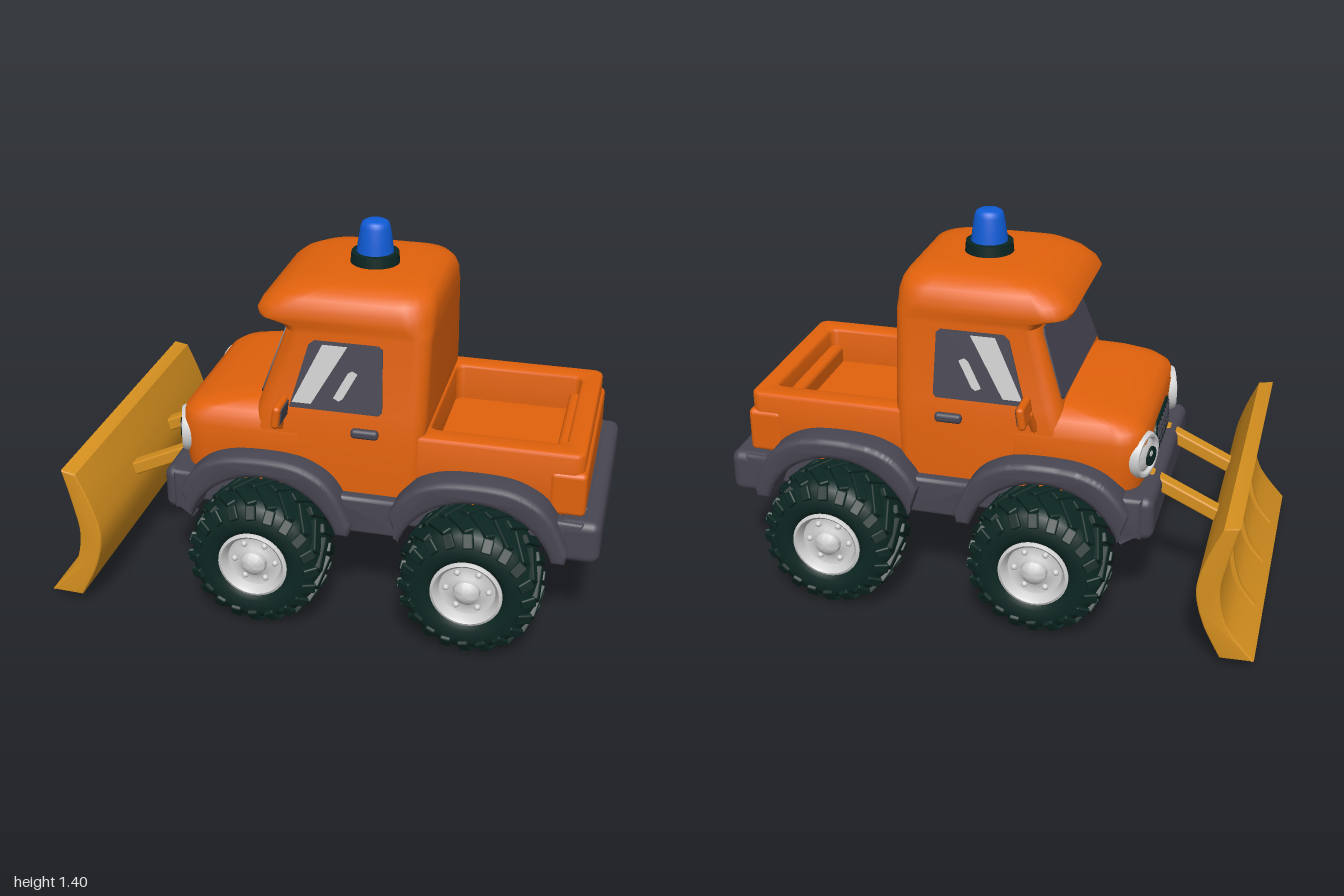
import * as THREE from 'three';
import { toCreasedNormals } from 'three/addons/utils/BufferGeometryUtils.js';
import { RoundedBoxGeometry } from 'three/addons/geometries/RoundedBoxGeometry.js';

const mat = (name, color) => Object.assign(new THREE.MeshStandardMaterial({ color }), { name });
const V = (pts) => pts.map(([x, y]) => new THREE.Vector2(x, y));

// Stack of rounded rectangles: rows of [y, x0, x1, halfDepth, cornerRadius]
function loft(rows, crease = 0.75) {
  const seg = 6, n = 4 * (seg + 1), pos = [], idx = [];
  for (const [y, x0, x1, hz, r] of rows) {
    for (let c = 0; c < 4; c++) {
      const cx = c === 0 || c === 3 ? x1 - r : x0 + r;
      const cz = c < 2 ? hz - r : r - hz;
      for (let i = 0; i <= seg; i++) {
        const a = (c + i / seg) * Math.PI / 2;
        pos.push(cx + r * Math.cos(a), y, cz + r * Math.sin(a));
      }
    }
  }
  const last = rows.length - 1;
  for (let k = 0; k < last; k++) {
    for (let i = 0; i < n; i++) {
      const a = k * n + i, b = k * n + (i + 1) % n;
      idx.push(a, a + n, b, b, a + n, b + n);
    }
  }
  for (const k of [0, last]) {
    const mid = pos.length / 3, [y, x0, x1] = rows[k];
    pos.push((x0 + x1) / 2, y, 0);
    for (let i = 0; i < n; i++) {
      const a = k * n + i, b = k * n + (i + 1) % n;
      if (k) idx.push(mid, b, a); else idx.push(mid, a, b);
    }
  }
  const g = new THREE.BufferGeometry();
  g.setAttribute('position', new THREE.Float32BufferAttribute(pos, 3));
  g.setIndex(idx);
  return toCreasedNormals(g, crease);
}

// Extrusion centred on its depth, with optional rounded edges
function slab(shape, depth, bevel = 0) {
  const g = new THREE.ExtrudeGeometry(shape, {
    depth: depth - 2 * bevel, curveSegments: 20, bevelEnabled: bevel > 0,
    bevelSize: bevel, bevelThickness: bevel, bevelOffset: -bevel, bevelSegments: 3,
  });
  return toCreasedNormals(g.translate(0, 0, bevel - depth / 2), 0.7);
}

function roundRect(x0, y0, x1, y1, r, Type = THREE.Shape) {
  const s = new Type(), h = Math.PI / 2;
  s.absarc(x1 - r, y1 - r, r, 0, h).absarc(x0 + r, y1 - r, r, h, 2 * h);
  s.absarc(x0 + r, y0 + r, r, 2 * h, 3 * h).absarc(x1 - r, y0 + r, r, 3 * h, 4 * h);
  return s;
}

export function createModel() {
  const truck = new THREE.Group();
  truck.name = 'snowPlowTruck';
  const orange = mat('orangePaint', 0xe2620c), grey = mat('charcoalGrey', 0x484652);
  const rubber = mat('darkRubber', 0x0c2622), silver = mat('lightSilver', 0xcfcfcf);
  const red = mat('axleRed', 0xd9222a), amber = mat('plowAmber', 0xd6901f), blue = mat('beaconBlue', 0x0f5cd6);
  const add = (name, geo, m, p = [0, 0, 0], r = [0, 0, 0], parent = truck) => {
    const mesh = new THREE.Mesh(geo, m);
    mesh.name = name;
    mesh.position.set(...p);
    mesh.rotation.set(...r);
    parent.add(mesh);
    return mesh;
  };

  // Cab with overhanging roof visor, and hood
  add('cab', loft([
    [0.5, -0.3, 0.35, 0.378, 0.05], [0.72, -0.27, 0.36, 0.374, 0.05], [0.8, -0.25, 0.365, 0.365, 0.06],
    [1.08, -0.155, 0.368, 0.325, 0.06], [1.1, -0.18, 0.37, 0.325, 0.07], [1.12, -0.262, 0.37, 0.328, 0.09],
    [1.135, -0.27, 0.37, 0.328, 0.1], [1.165, -0.255, 0.37, 0.324, 0.11], [1.2, -0.215, 0.362, 0.31, 0.12],
    [1.225, -0.16, 0.345, 0.285, 0.12], [1.24, -0.09, 0.31, 0.24, 0.12], [1.245, -0.02, 0.26, 0.18, 0.12],
  ]), orange);
  add('hood', loft([
    [0.5, -0.535, 0, 0.37, 0.1], [0.62, -0.55, 0, 0.378, 0.1], [0.7, -0.553, 0, 0.376, 0.1],
    [0.74, -0.54, 0, 0.368, 0.1], [0.765, -0.505, 0, 0.352, 0.1], [0.785, -0.43, 0, 0.33, 0.1],
    [0.8, -0.34, 0, 0.3, 0.1], [0.812, -0.24, 0, 0.25, 0.1],
  ]), orange);

  // Cargo bed with open recess
  const bed = roundRect(0.3, -0.362, 0.925, 0.362, 0.04);
  bed.holes.push(roundRect(0.37, -0.275, 0.85, 0.275, 0.03, THREE.Path));
  add('cargoBed', slab(bed, 0.25, 0.012), orange, [0, 0.615, 0], [-Math.PI / 2, 0, 0]);
  add('bedFloor', new THREE.BoxGeometry(0.56, 0.08, 0.6), orange, [0.61, 0.56, 0]);
  add('tailCorner', new RoundedBoxGeometry(0.13, 0.17, 0.735, 3, 0.02), orange, [0.872, 0.585, 0]);

  // Chassis and bumpers
  add('chassis', new RoundedBoxGeometry(1.5, 0.17, 0.64, 2, 0.015), grey, [0.2, 0.43, 0]);
  add('frontBumper', new RoundedBoxGeometry(0.13, 0.17, 0.82, 4, 0.035), grey, [-0.535, 0.435, 0]);
  add('rearBumper', new RoundedBoxGeometry(0.16, 0.165, 0.84, 4, 0.035), grey, [0.92, 0.427, 0]);

  const wheelX = [-0.21, 0.565];
  const sides = [['left', 1], ['right', -1]];

  // Side skirts cut by the wheel arches
  const skirt = new THREE.Shape(V([[-0.56, 0.36], [-0.48, 0.36]]));
  const a0 = Math.atan2(0.085, 0.272);
  skirt.absarc(wheelX[0], 0.27, 0.285, Math.PI - a0, a0, true);
  skirt.absarc(wheelX[1], 0.27, 0.285, Math.PI - a0, a0, true);
  for (const [x, y] of [[0.94, 0.36], [0.94, 0.505], [0.84, 0.505], [0.76, 0.56], [0.66, 0.6], [0.46, 0.6], [0.36, 0.55],
    [0.3, 0.5], [0.06, 0.5], [0.0, 0.55], [-0.1, 0.6], [-0.3, 0.6], [-0.4, 0.57], [-0.47, 0.52], [-0.56, 0.52]]) skirt.lineTo(x, y);
  // Raised flare over one wheel
  const flare = new THREE.Shape();
  flare.absarc(0, 0, 0.285, a0, Math.PI - a0, false);
  flare.lineTo(-0.31, 0.2);
  flare.splineThru(V([[-0.27, 0.265], [-0.2, 0.325], [-0.09, 0.357], [0.09, 0.357], [0.2, 0.32], [0.27, 0.255], [0.33, 0.13]]));
  flare.lineTo(0.32, 0.085);

  // Side window outline, measured from its foot
  const windowShape = new THREE.Shape(V([[-0.125, 0.01], [0.2, 0.01], [0.212, 0.022], [0.205, 0.25], [0.19, 0.262], [-0.04, 0.262], [-0.06, 0.245]]));
  const streaks = [
    new THREE.Shape(V([[-0.115, 0.03], [-0.045, 0.03], [0.08, 0.25], [-0.01, 0.25]])),
    new THREE.Shape(V([[0.035, 0.06], [0.055, 0.05], [0.07, 0.06], [0.12, 0.155], [0.1, 0.165], [0.085, 0.155]])),
  ];

  for (const [side, s] of sides) {
    add(side + 'Skirt', slab(skirt, 0.115, 0.015), grey, [0, 0, s * 0.362]);
    for (const x of wheelX) add(side + 'Fender', slab(flare, 0.16, 0.02), grey, [x, 0.27, s * 0.385]);

    // Door glass, reflections and handle
    add(side + 'Window', slab(windowShape, 0.009), grey, [0, 0.8, s * 0.366], [-s * 0.142, 0, 0]);
    for (const shape of streaks) add(side + 'WindowReflection', slab(shape, 0.009), silver, [0, 0.8, s * 0.3685], [-s * 0.142, 0, 0]);
    add(side + 'DoorHandle', new RoundedBoxGeometry(0.1, 0.036, 0.03, 3, 0.014), grey, [0.153, 0.74, s * 0.38]);

    // Mirror on a short arm
    const mirror = new THREE.Group();
    mirror.name = side + 'Mirror';
    truck.add(mirror);
    add('mirrorShell', new RoundedBoxGeometry(0.03, 0.085, 0.12, 3, 0.014), orange, [-0.14, 0.82, s * 0.435], [0, 0, -0.12], mirror);
    add('mirrorGlass', new RoundedBoxGeometry(0.008, 0.06, 0.092, 2, 0.003), grey, [-0.125, 0.82, s * 0.435], [0, 0, -0.12], mirror);
    add('mirrorArm', new RoundedBoxGeometry(0.025, 0.1, 0.025, 2, 0.01), orange, [-0.155, 0.765, s * 0.385], [s * 0.45, 0, -0.12], mirror);

    // Headlight turned slightly outward
    const lamp = new THREE.Group();
    lamp.name = side + 'Headlight';
    lamp.position.set(-0.535, 0.637, s * 0.285);
    lamp.rotation.y = s * 0.3;
    truck.add(lamp);
    const rim = new THREE.LatheGeometry(V([[0.086, -0.05], [0.086, 0.012], [0.08, 0.024], [0.07, 0.024], [0.062, 0.012], [0.045, 0.022], [0.02, 0.028], [0, 0.029]]), 32);
    add('lampBowl', toCreasedNormals(rim.rotateZ(Math.PI / 2), 0.6), silver, [0, 0, 0], [0, 0, 0], lamp);
    add('lampPupil', new THREE.CylinderGeometry(0.036, 0.036, 0.008, 24).rotateZ(Math.PI / 2), rubber, [-0.028, -0.005, -s * 0.01], [0, 0, 0], lamp);
    add('lampGlint', new THREE.CylinderGeometry(0.011, 0.011, 0.006, 16).rotateZ(Math.PI / 2), silver, [-0.031, 0.01, -s * 0.002], [0, 0, 0], lamp);

    // Plow push arm
    add(side + 'PlowArm', new RoundedBoxGeometry(0.32, 0.05, 0.055, 2, 0.008), amber, [-0.69, 0.435, s * 0.19], [0, 0, 0.44]);
  }

  // Windshield lying on the sloping cab front
  const shield = new THREE.Shape(V([[-0.29, 0.02], [0.29, 0.02], [0.3, 0.035], [0.262, 0.265], [0.245, 0.28], [-0.245, 0.28], [-0.262, 0.265], [-0.3, 0.035]]));
  add('windshield', slab(shield, 0.009).rotateY(-Math.PI / 2).rotateZ(-0.327), grey, [-0.251, 0.8, 0]);

  // Grille with crossing slats
  add('grille', slab(roundRect(-0.15, -0.062, 0.15, 0.062, 0.045), 0.02, 0.006).rotateY(-Math.PI / 2), rubber, [-0.553, 0.62, 0], [0, 0, -0.05]);
  for (const y of [-0.028, 0, 0.028]) add('grilleSlat', new THREE.BoxGeometry(0.008, 0.007, 0.25), grey, [-0.563, 0.62 + y, 0]);
  for (let i = -3; i <= 3; i++) add('grilleBar', new THREE.BoxGeometry(0.008, 0.095, 0.007), grey, [-0.563, 0.62, i * 0.036]);

  // Roof beacon
  add('beaconBase', new THREE.CylinderGeometry(0.086, 0.09, 0.045, 32), rubber, [0.1, 1.262, 0]);
  add('beaconLens', new THREE.LatheGeometry(V([[0.068, 1.28], [0.063, 1.32], [0.055, 1.375], [0.048, 1.393], [0.035, 1.4], [0, 1.402]]), 32), blue, [0.1, 0, 0]);

  // Curved plow blade with front ribs
  const front = V([[-0.92, 0.565], [-0.885, 0.42], [-0.868, 0.3], [-0.9, 0.17], [-1.0, 0.045]]);
  const back = V([[-0.88, 0.04], [-0.815, 0.17], [-0.785, 0.3], [-0.81, 0.42], [-0.865, 0.555]]);
  const blade = new THREE.Shape();
  blade.moveTo(-0.92, 0.565);
  blade.splineThru(front.slice(1));
  blade.lineTo(-0.88, 0.04);
  blade.splineThru(back.slice(1));
  add('plowBlade', slab(blade, 1.19, 0.006), amber);
  const rib = new THREE.Shape();
  rib.moveTo(-0.915, 0.54);
  rib.splineThru(V([[-0.897, 0.42], [-0.882, 0.3], [-0.914, 0.17], [-0.975, 0.085]]));
  rib.lineTo(-0.88, 0.17);
  rib.lineTo(-0.85, 0.3);
  rib.lineTo(-0.87, 0.42);
  for (const z of [-0.3, 0, 0.3]) add('plowRib', slab(rib, 0.03, 0.004), amber, [0, 0, z]);

  // Axles and wheels
  const tyreGeo = new THREE.LatheGeometry(V([[0, -0.1], [0.12, -0.1], [0.15, -0.125], [0.195, -0.132], [0.228, -0.11], [0.243, -0.07], [0.246, 0],
    [0.243, 0.07], [0.228, 0.11], [0.195, 0.132], [0.15, 0.13], [0.122, 0.115], [0.115, 0.08]]), 48);
  const rimGeo = toCreasedNormals(new THREE.LatheGeometry(V([[0.128, 0.105], [0.128, 0.125], [0.118, 0.13], [0.108, 0.12], [0.1, 0.092], [0.085, 0.088],
    [0.06, 0.094], [0.048, 0.1], [0.045, 0.118], [0.032, 0.13], [0.015, 0.137], [0, 0.138]]), 40), 0.6);
  const lugGeo = new RoundedBoxGeometry(0.026, 0.125, 0.038, 1, 0.006);
  const shoulderGeo = new RoundedBoxGeometry(0.055, 0.018, 0.038, 1, 0.006);
  const boltGeo = new THREE.SphereGeometry(0.012, 10, 8);
  for (const x of wheelX) {
    add('axle', new THREE.CylinderGeometry(0.086, 0.086, 0.74, 32), red, [x, 0.265, 0], [Math.PI / 2, 0, 0]);
    for (const [side, s] of sides) {
      const wheel = new THREE.Group();
      wheel.name = side + (x < 0 ? 'FrontWheel' : 'RearWheel');
      wheel.position.set(x, 0.268, s * 0.46);
      wheel.rotation.x = s * Math.PI / 2;
      truck.add(wheel);
      add('tyre', tyreGeo, rubber, [0, 0, 0], [0, 0, 0], wheel);
      add('rim', rimGeo, silver, [0, 0, 0], [0, 0, 0], wheel);
      for (let i = 0; i < 40; i++) {
        const half = i % 2 ? 1 : -1, spoke = new THREE.Group();
        spoke.name = 'tread';
        spoke.rotation.y = i * Math.PI / 20;
        wheel.add(spoke);
        add('treadLug', lugGeo, rubber, [0.241, half * 0.052, 0], [half * 0.65, 0, half * 0.1], spoke);
        add('shoulderLug', shoulderGeo, rubber, [0.214, half * 0.122, half * 0.034], [0, 0, -half * 0.55], spoke);
      }
      for (let i = 0; i < 6; i++) {
        const a = i * Math.PI / 3;
        add('wheelBolt', boltGeo, silver, [0.076 * Math.cos(a), 0.092, 0.076 * Math.sin(a)], [0, 0, 0], wheel);
      }
    }
  }
  return truck;
}
